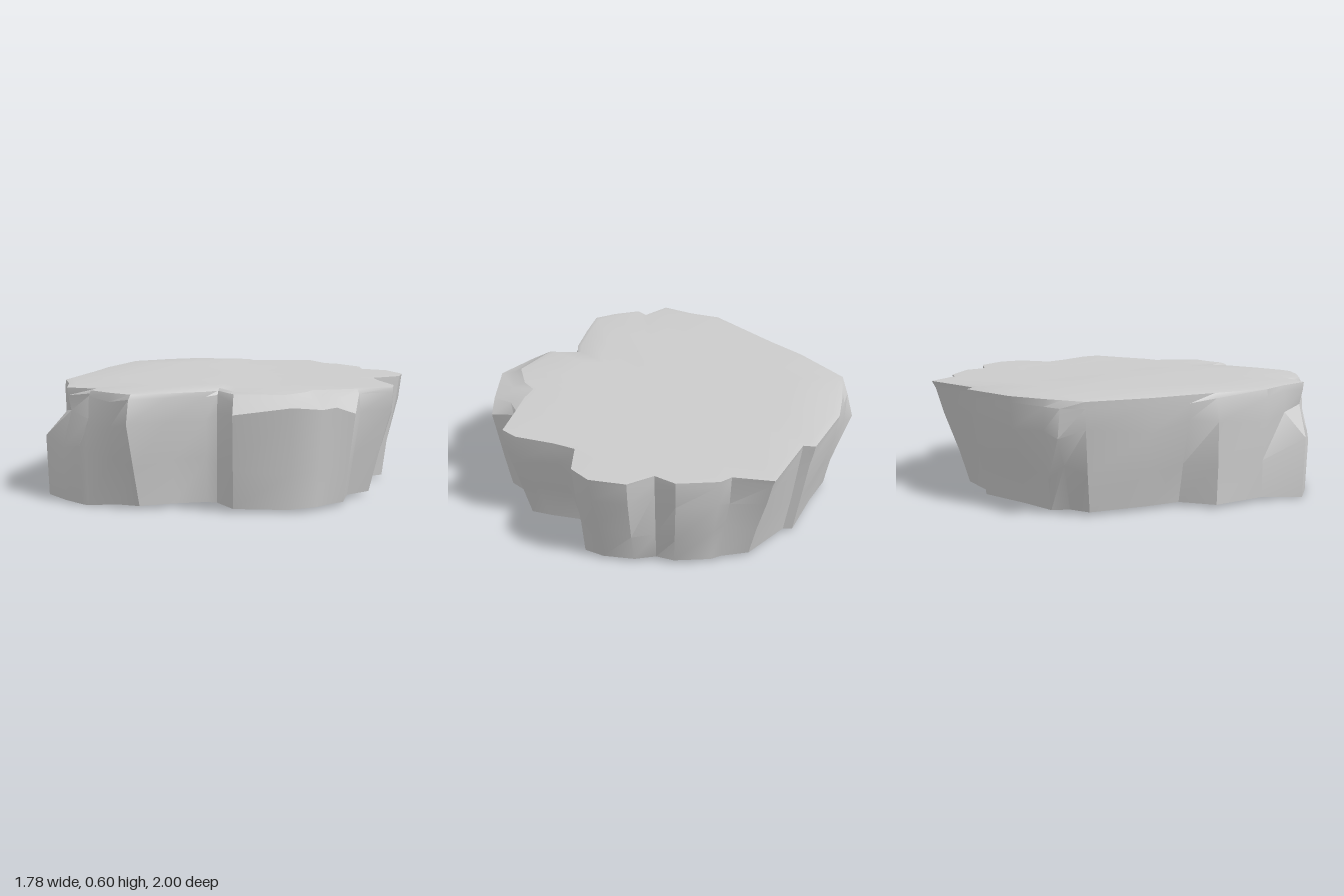
import * as THREE from 'three';
import { toCreasedNormals } from 'three/addons/utils/BufferGeometryUtils.js';

// Rim of the plateau, clockwise from the back: x, z, shoulder scale, foot scale
const OUTLINE = [
  [0.2, -1.0, 0.94, 0.81], [0.33, -0.83, 0.98, 0.88], [0.4, -0.82, 0.98, 0.87],
  [0.57, -0.68, 0.99, 0.87], [0.6, -0.56, 0.99, 0.9], [0.75, -0.52, 0.98, 0.85],
  [0.86, -0.36, 0.98, 0.86], [0.86, -0.23, 0.98, 0.9], [0.73, -0.1, 0.99, 0.9],
  [0.78, 0.02, 0.97, 0.79], [0.88, 0.2, 0.99, 0.81], [0.89, 0.3, 0.99, 0.86],
  [0.72, 0.41, 1.03, 0.93], [0.6, 0.49, 1.24, 1.13], [0.51, 0.53, 1.3, 1.2],
  [0.5, 0.62, 1.21, 1.14], [0.42, 0.76, 1.14, 1.06], [0.17, 0.81, 1.16, 1.05],
  [0.06, 0.69, 1.06, 1.06], [0.01, 0.75, 1.0, 0.97], [-0.15, 0.86, 1.01, 0.93],
  [-0.31, 0.96, 1.04, 0.94], [-0.43, 0.92, 1.01, 0.97], [-0.56, 0.85, 1.02, 1.03],
  [-0.56, 0.78, 1.05, 1.1], [-0.72, 0.77, 0.98, 1.02], [-0.78, 0.6, 1.01, 1.12],
  [-0.86, 0.45, 1.0, 0.98], [-0.86, 0.14, 1.04, 1.03], [-0.86, 0.0, 0.99, 0.87],
  [-0.87, -0.22, 0.98, 0.87], [-0.84, -0.56, 0.99, 0.89], [-0.74, -0.64, 1.07, 0.88],
  [-0.67, -0.7, 1.02, 0.93], [-0.5, -0.82, 0.98, 0.87], [-0.18, -0.93, 0.97, 0.89],
  [-0.14, -0.88, 0.98, 0.9],
];

const hash = (i, k) => {
  const s = Math.sin(i * 12.9898 + k * 78.233) * 43758.5453;
  return s - Math.floor(s) - 0.5;
};

// Gentle swell of the flat top
const topHeight = (x, z) => 0.587 - 0.008 * x
  + 0.014 * Math.exp(-(((x + 0.25 - z * 0.3) / 0.3) ** 2) - z * z);

// Quads between consecutive rings, from the inside or top outward and down
function shell(rings) {
  const n = rings[0].length;
  const index = [];
  for (let r = 0; r < rings.length - 1; r++) {
    for (let i = 0; i < n; i++) {
      const a = r * n + i, a2 = r * n + (i + 1) % n;
      index.push(a, a2, a2 + n, a, a2 + n, a + n);
    }
  }
  const geometry = new THREE.BufferGeometry();
  geometry.setAttribute('position', new THREE.Float32BufferAttribute(rings.flat(2), 3));
  geometry.setIndex(index);
  return geometry;
}

function mesh(name, geometry, crease) {
  const material = new THREE.MeshStandardMaterial({ color: 0xcccccc, side: THREE.DoubleSide });
  const part = new THREE.Mesh(toCreasedNormals(geometry, crease), material);
  part.name = name;
  return part;
}

export function createModel() {
  const group = new THREE.Group();
  group.name = 'rockPlateau';

  // Flat top
  const cap = [0.001, 0.35, 0.7, 0.96, 1].map((f) => OUTLINE.map(([x, z]) =>
    [x * f, f === 1 ? 0.583 - 0.004 * x : topHeight(x * f, z * f), z * f]));
  group.add(mesh('flatTop', shell(cap), 0.6));

  // Cliff, open below: rim, worn lip, shoulder, waist and foot
  const lip = OUTLINE.map(([x, z, s], i) => {
    const f = 1.004 + (s - 1) * 0.4;
    return [x * f, 0.552 + 0.025 * hash(i, 1), z * f];
  });
  // Wide ledges sit higher than the ordinary shoulder
  const shoulder = OUTLINE.map(([x, z, s], i) =>
    [x * s, (s > 1.09 ? 0.5 : 0.44) + 0.07 * hash(i, 2), z * s]);
  // Where the foot spreads past the shoulder, the waist flares with it
  const waist = OUTLINE.map(([x, z, s, f], i) => {
    const m = f > s ? f * 1.01 : s * 0.45 + f * 0.55 + 0.02 * hash(i, 3);
    return [x * m, (f > s ? 0.28 : 0.22) + 0.08 * hash(i, 4), z * m];
  });
  const foot = OUTLINE.map(([x, z, s, f]) => [x * f, f > s ? 0 : 0.017, z * f]);
  group.add(mesh('cliffWall', shell([cap[4], lip, shoulder, waist, foot]), 0.6));
  return group;
}
